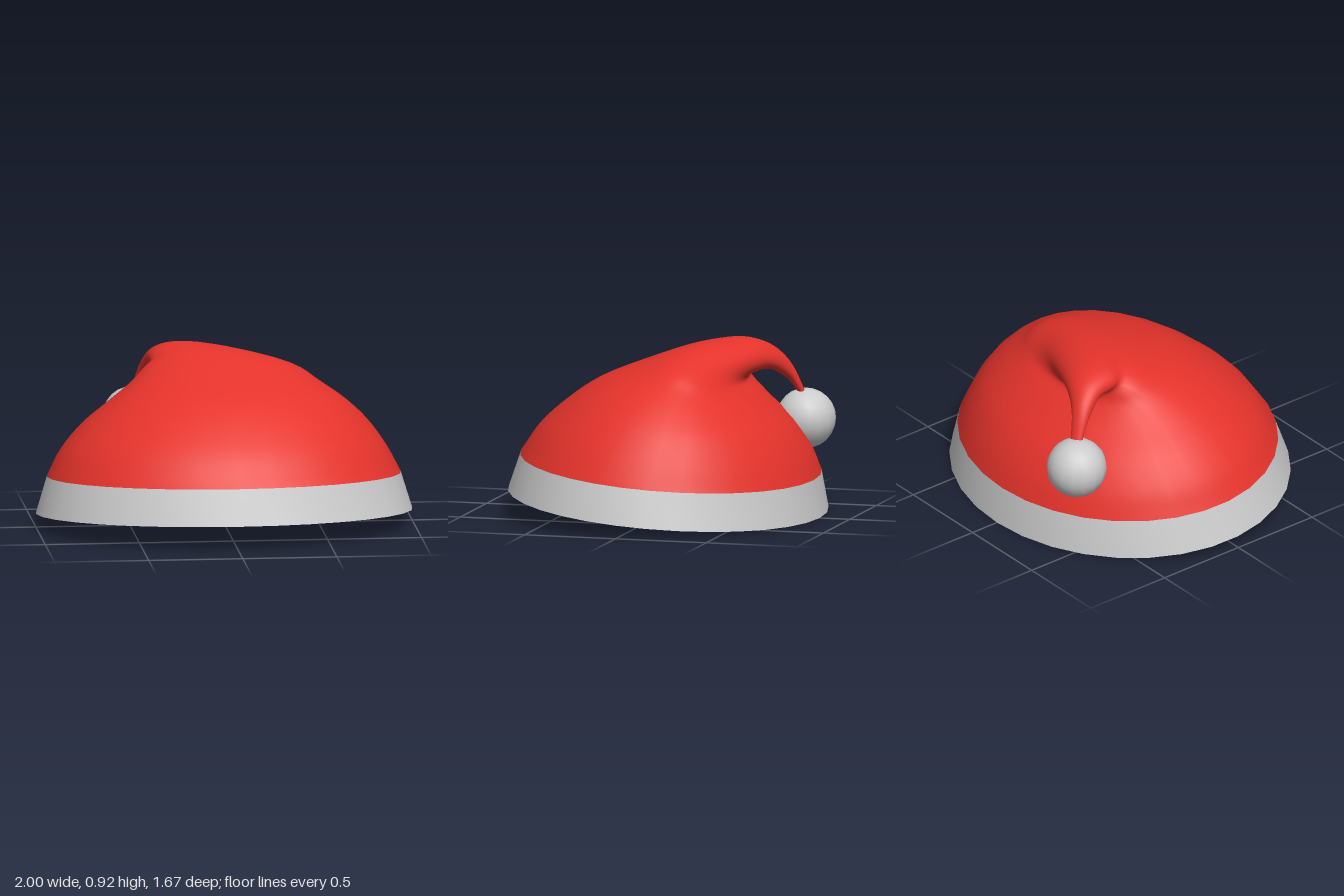
import * as THREE from 'three';

const SIDES = 32;

// Stations: [front x,y,z], [back x,y,z], half-width vector [x,z] towards the left side
const BAND = [
  [[0, 0.145, 0.835], [0, 0.005, -0.835], [1.0, 0]],
  [[0, 0.335, 0.77], [0, 0.205, -0.80], [0.94, 0]],
];
const CLOTH = [
  BAND[1],
  [[0, 0.49, 0.66], [0, 0.33, -0.75], [0.865, 0]],
  [[0.01, 0.63, 0.50], [0.01, 0.46, -0.67], [0.755, 0]],
  [[0.02, 0.735, 0.33], [0.02, 0.575, -0.56], [0.625, 0]],
  [[0.02, 0.82, 0.12], [0.01, 0.655, -0.47], [0.50, 0]],
  [[0, 0.888, -0.07], [-0.01, 0.70, -0.415], [0.41, 0]],
  [[-0.07, 0.92, -0.21], [-0.10, 0.73, -0.41], [0.28, -0.02]],
  [[-0.20, 0.925, -0.35], [-0.20, 0.747, -0.43], [0.17, -0.05]],
  [[-0.28, 0.89, -0.46], [-0.27, 0.75, -0.475], [0.10, -0.04]],
  [[-0.335, 0.83, -0.53], [-0.33, 0.717, -0.52], [0.06, -0.03]],
  [[-0.375, 0.745, -0.585], [-0.37, 0.675, -0.56], [0.04, -0.02]],
  [[-0.405, 0.61, -0.64], [-0.40, 0.61, -0.60], [0.03, -0.01]],
];

// Lofts elliptical rings through the stations, smoothed along the spine
function loft(stations, ringCount) {
  const curve = (pick) =>
    new THREE.CatmullRomCurve3(stations.map(pick), false, 'catmullrom', 0.5);
  const centre = curve(([f, b]) => new THREE.Vector3(...f).add(new THREE.Vector3(...b)).multiplyScalar(0.5));
  const depth = curve(([f, b]) => new THREE.Vector3(...f).sub(new THREE.Vector3(...b)).multiplyScalar(0.5));
  const width = curve(([, , w]) => new THREE.Vector3(w[0], 0, w[1]));

  const positions = [], index = [];
  for (let j = 0; j <= ringCount; j++) {
    const t = j / ringCount;
    const c = centre.getPoint(t), u = depth.getPoint(t), v = width.getPoint(t);
    for (let i = 0; i < SIDES; i++) {
      const a = (i / SIDES) * Math.PI * 2;
      const p = c.clone().addScaledVector(u, Math.cos(a)).addScaledVector(v, Math.sin(a));
      positions.push(p.x, p.y, p.z);
      if (j === ringCount) continue;
      const a0 = j * SIDES + i, a1 = j * SIDES + (i + 1) % SIDES;
      index.push(a0, a1, a0 + SIDES, a1, a1 + SIDES, a0 + SIDES);
    }
  }
  const geometry = new THREE.BufferGeometry();
  geometry.setAttribute('position', new THREE.Float32BufferAttribute(positions, 3));
  geometry.setIndex(index);
  geometry.computeVertexNormals();
  return geometry;
}

export function createModel() {
  const group = new THREE.Group();
  group.name = 'floppyHat';
  const red = new THREE.MeshStandardMaterial({ color: 0xe5332b, side: THREE.DoubleSide });
  const grey = new THREE.MeshStandardMaterial({ color: 0xcccccc, side: THREE.DoubleSide });

  const add = (name, geometry, material) => {
    const mesh = new THREE.Mesh(geometry, material);
    mesh.name = name;
    group.add(mesh);
    return mesh;
  };

  // Open flared band around the head
  add('brimBand', loft(BAND, 1), grey);
  // Cloth dome that folds over at the back into a thin tail
  add('clothCrown', loft(CLOTH, 44), red);
  // Ball hanging from the tail
  add('pompom', new THREE.SphereGeometry(0.16, 16, 12), grey).position.set(-0.425, 0.47, -0.635);

  return group;
}
